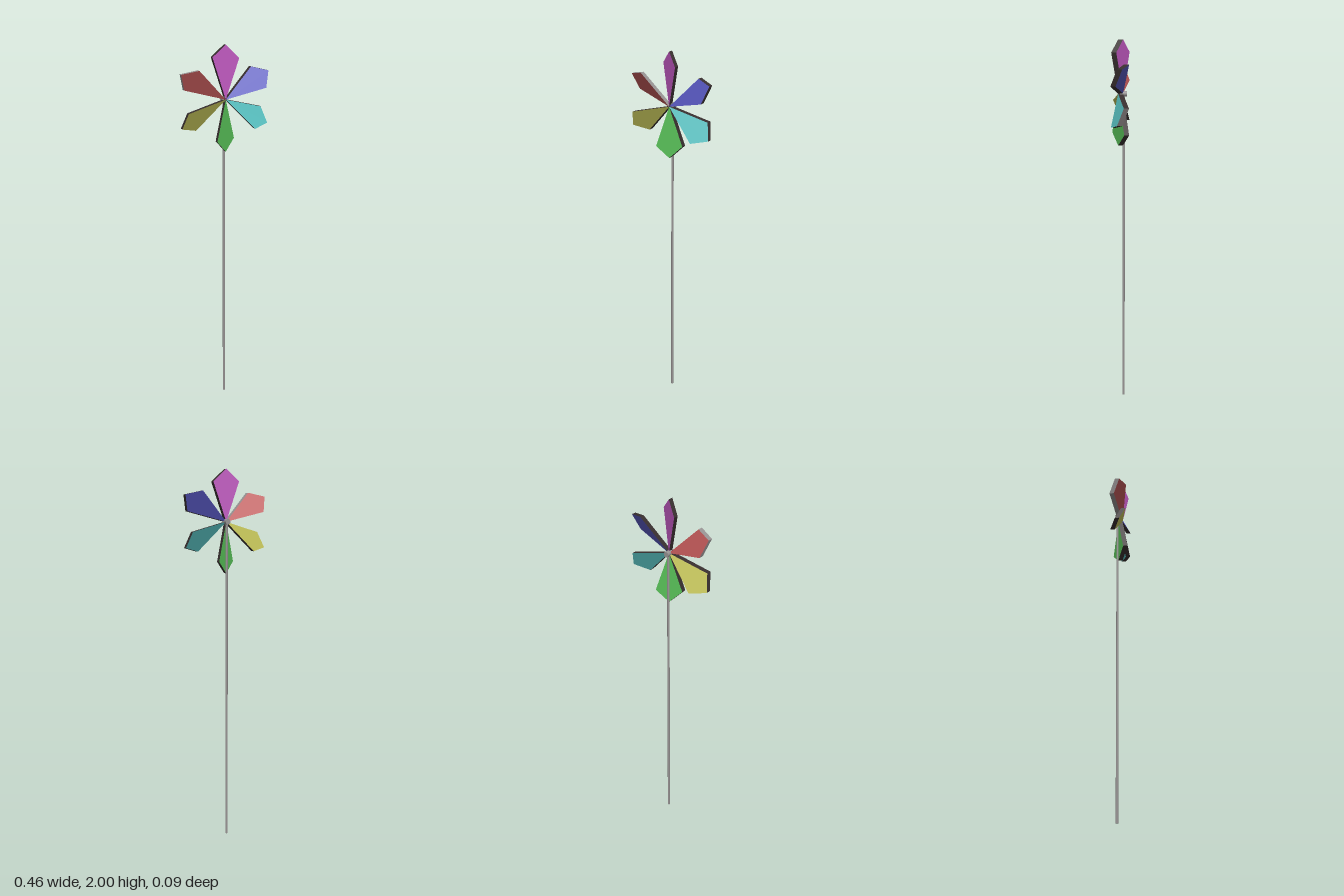
import * as THREE from 'three';

const HUB_Y = 1.733;      // height of the wheel centre
const THICK = 0.025;      // blade depth, straight back from the face
const SLOPE = 0.56;       // how far each blade leans forward across its width

function material(name, color) {
  const m = new THREE.MeshStandardMaterial({ color });
  m.name = name;
  return m;
}

// Kite-shaped slab pointing up from the origin, slanted so one side leads
function bladeGeometry() {
  const kite = new THREE.Shape([
    new THREE.Vector2(0, 0),
    new THREE.Vector2(0.058, 0.205),
    new THREE.Vector2(0, 0.267),
    new THREE.Vector2(-0.058, 0.205),
  ]);
  const g = new THREE.ExtrudeGeometry(kite, { depth: THICK, bevelEnabled: false });
  const p = g.attributes.position;
  for (let i = 0; i < p.count; i++) {
    p.setZ(i, p.getZ(i) - THICK / 2 + p.getX(i) * SLOPE);
  }
  g.computeVertexNormals();
  return g;
}

export function createModel() {
  const model = new THREE.Group();
  model.name = 'pinwheel';
  const grey = material('grey', 0x989494);
  const dark = material('darkBrown', 0x382f2f);

  // Pole
  const pole = new THREE.Mesh(new THREE.CylinderGeometry(0.0065, 0.0065, HUB_Y, 12), grey);
  pole.name = 'pole';
  pole.position.set(0, HUB_Y / 2, -0.017);
  model.add(pole);

  // Axle joining pole and wheel
  const axle = new THREE.Mesh(new THREE.CylinderGeometry(0.014, 0.014, 0.036, 16), grey);
  axle.name = 'axle';
  axle.rotation.x = Math.PI / 2;
  axle.position.set(0, HUB_Y, -0.016);
  model.add(axle);

  // Six blades, clockwise from the top: face colour and rim material
  const wheel = new THREE.Group();
  wheel.name = 'wheel';
  wheel.position.y = HUB_Y;
  const blades = [
    ['purple', 0xc058c0, dark], ['blue', 0x5858c0, dark], ['cyan', 0x58c0c0, dark],
    ['green', 0x58c058, dark], ['yellow', 0xc0c058, dark], ['red', 0xc05858, grey],
  ];
  const geometry = bladeGeometry();
  blades.forEach(([name, hex, rim], i) => {
    const blade = new THREE.Mesh(geometry, [material(name, hex), rim]);
    blade.name = name + 'Blade';
    blade.rotation.z = -i * Math.PI / 3;
    wheel.add(blade);
  });
  model.add(wheel);
  return model;
}
